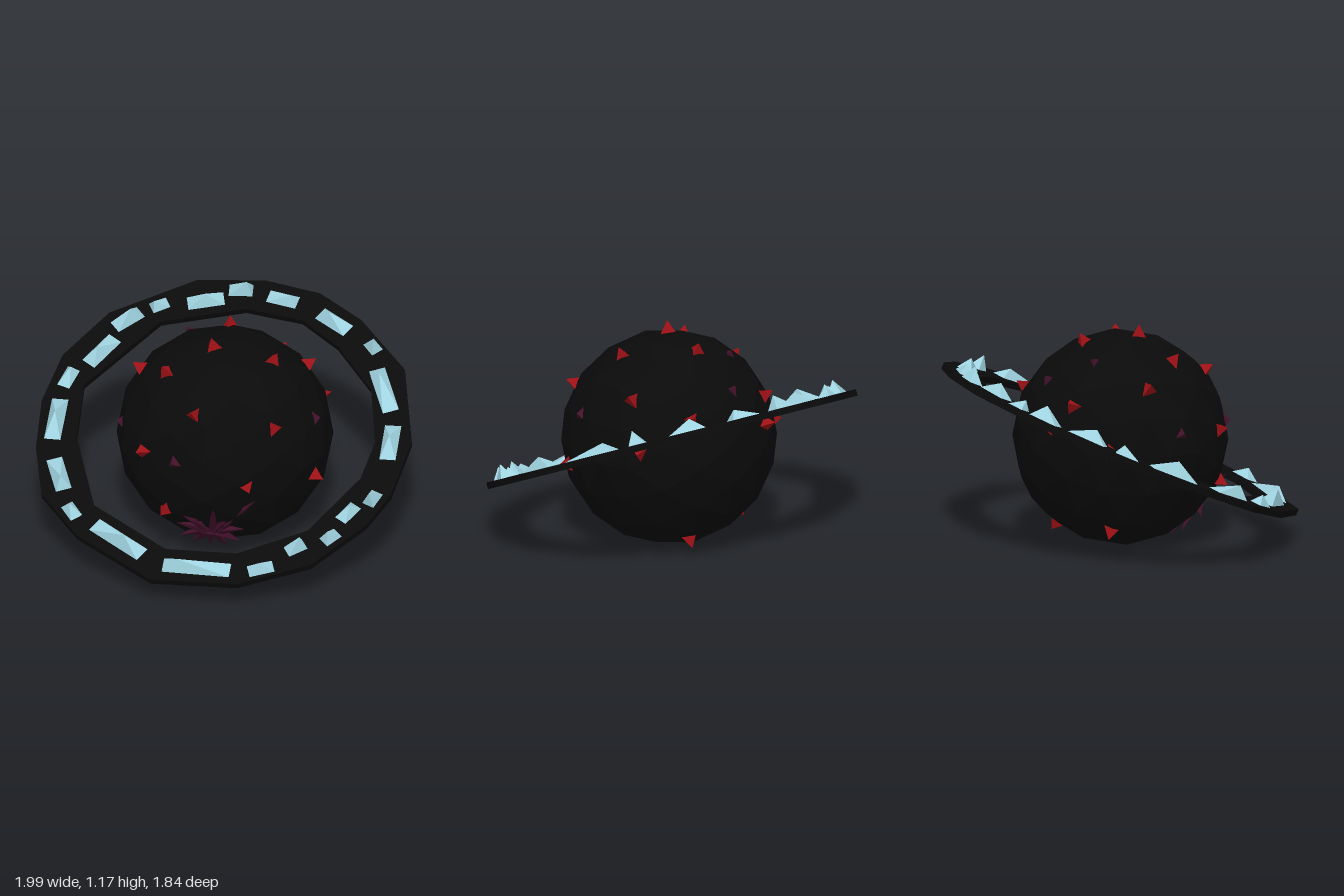
import * as THREE from 'three';

const R = 0.57;
const CENTRE = new THREE.Vector3(0, R, 0);
const UP = new THREE.Vector3(0, 1, 0);
const TILT = 0.414;

const paint = (color) => new THREE.MeshStandardMaterial({ color, flatShading: true, side: THREE.DoubleSide });
const rock = paint(0x0a0a0a);
const red = paint(0x9c1015);
const maroon = paint(0x42102a);
const ice = paint(0x9fd3e0);

// Point at radius r in the direction of a position relative to the planet
const onSphere = (x, y, z, r) => new THREE.Vector3(x, y, z).setLength(r).add(CENTRE);

// Pyramid with its base at a and its tip at b
function spike(name, a, b, radius, sides, material, spin) {
  const dir = b.clone().sub(a);
  const geo = new THREE.ConeGeometry(radius, dir.length(), sides);
  geo.rotateY(spin);
  const mesh = new THREE.Mesh(geo, material);
  mesh.name = name;
  mesh.position.copy(a).add(b).multiplyScalar(0.5);
  mesh.quaternion.setFromUnitVectors(UP, dir.normalize());
  return mesh;
}

function createSpikes() {
  const group = new THREE.Group();
  group.name = 'surfaceSpikes';
  // Directions from the planet centre
  const reds = [
    [-0.02, 0.53, -0.21], [-0.05, 0.56, 0.08], [0.27, 0.5, 0.05], [-0.27, 0.46, 0.22],
    [-0.07, 0.35, 0.45], [0.34, 0.26, 0.35], [-0.45, 0.35, 0.03], [-0.35, 0.26, -0.36],
    [0.2, 0.26, -0.46], [0.4, 0.34, -0.2], [0.45, 0.09, -0.33], [0.52, -0.09, 0.19],
    [-0.53, 0.04, -0.2], [-0.34, 0.09, 0.44], [0.23, -0.02, 0.51], [-0.21, -0.22, 0.47],
    [-0.28, 0.14, -0.47], [-0.33, -0.42, -0.15], [0.1, -0.45, -0.31],
  ];
  const dark = [
    [-0.24, 0.47, -0.21], [-0.1, 0.36, -0.43], [0.53, 0.21, 0.1],
    [-0.51, 0.11, 0.19], [-0.16, 0.09, 0.53],
  ];
  reds.forEach((p, i) => group.add(
    spike('redSpike', onSphere(...p, 0.535), onSphere(...p, 0.62), 0.062, 3, red, i * 1.7)));
  dark.forEach((p, i) => group.add(
    spike('maroonSpike', onSphere(...p, 0.53), onSphere(...p, 0.585), 0.075, 3, maroon, i * 1.3)));
  return group;
}

// Shards splayed out over the surface from one spot low on the front
function createShards() {
  const group = new THREE.Group();
  group.name = 'shardCluster';
  const tips = [
    [0.27, -0.08], [0.06, -0.13], [-0.05, -0.22], [0.12, -0.21], [-0.14, -0.27], [-0.1, -0.2],
    [0.2, -0.28], [0.16, -0.4], [0.07, -0.5], [-0.02, -0.51], [-0.1, -0.48], [-0.15, -0.4],
  ];
  tips.forEach(([x, y], i) => {
    const z = Math.sqrt(R * R - x * x - y * y);
    const root = onSphere(0.02 + x * 0.2, -0.36 + (y + 0.36) * 0.15, 0.43, 0.545);
    group.add(spike('shard', root, onSphere(x, y, z, 0.6), 0.038, 4, maroon, i));
  });
  return group;
}

function createRing() {
  const group = new THREE.Group();
  group.name = 'tiltedRing';
  group.position.y = 0.55;
  group.rotation.x = TILT;
  const c = Math.cos(TILT);

  // Irregular outer and inner outlines, as x and z seen from above
  const outer = [
    [0.02, -0.92], [0.32, -0.88], [0.57, -0.75], [0.86, -0.49], [0.99, -0.07], [0.95, 0.26],
    [0.86, 0.45], [0.62, 0.72], [0.26, 0.88], [-0.2, 0.91], [-0.64, 0.7], [-0.88, 0.48],
    [-0.97, 0.21], [-1, -0.07], [-0.95, -0.35], [-0.76, -0.63], [-0.34, -0.88],
  ];
  const inner = [
    [-0.05, -0.74], [0.26, -0.71], [0.48, -0.58], [0.71, -0.35], [0.8, -0.04], [0.77, 0.18],
    [0.56, 0.52], [0.22, 0.7], [-0.16, 0.72], [-0.59, 0.51], [-0.77, 0.12], [-0.8, -0.19],
    [-0.48, -0.61],
  ];
  const flat = (list) => list.map(([x, z]) => new THREE.Vector2(x, -z / c));
  const shape = new THREE.Shape(flat(outer));
  shape.holes.push(new THREE.Path(flat(inner)));
  const geo = new THREE.ExtrudeGeometry(shape, { depth: 0.036, bevelEnabled: false });
  geo.rotateX(-Math.PI / 2).translate(0, -0.018, 0);
  const band = new THREE.Mesh(geo, rock);
  band.name = 'ringBand';
  group.add(band);

  // Ice crystals: x, z, length along the ring
  const crystals = [
    [0.13, -0.82, 0.17], [0.43, -0.72, 0.2], [0.665, -0.6, 0.09], [0.78, -0.35, 0.3],
    [0.88, -0.05, 0.23], [0.86, 0.29, 0.1], [0.75, 0.39, 0.13], [0.69, 0.545, 0.1],
    [0.52, 0.63, 0.11], [0.365, 0.775, 0.14], [0.03, 0.81, 0.37], [-0.42, 0.695, 0.34],
    [-0.7, 0.56, 0.11], [-0.815, 0.35, 0.22], [-0.9, 0.03, 0.27], [-0.89, -0.22, 0.13],
    [-0.75, -0.4, 0.22], [-0.655, -0.6, 0.17], [-0.505, -0.705, 0.1], [-0.27, -0.76, 0.2],
    [-0.1, -0.845, 0.13],
  ];
  crystals.forEach(([x, z, len], i) => {
    // Four-sided pyramid with its tip leaning along the ring
    const pyramid = new THREE.ConeGeometry(Math.SQRT1_2, 1, 4).rotateY(Math.PI / 4).translate(0, 0.5, 0);
    const p = pyramid.attributes.position;
    const lean = ((i * 3) % 5 - 2) * 0.14;
    for (let k = 0; k < p.count; k++) p.setX(k, p.getX(k) + lean * p.getY(k));
    const mesh = new THREE.Mesh(pyramid, ice);
    mesh.name = 'iceCrystal';
    mesh.scale.set(len, 0.055 + 0.012 * (i % 3), Math.min(0.09, 0.055 + len * 0.15));
    mesh.position.set(x, 0.016, z / c);
    mesh.rotation.y = Math.atan2(x, z / c);
    group.add(mesh);
  });
  return group;
}

export function createModel() {
  const model = new THREE.Group();
  model.name = 'ringedPlanet';

  // Faceted planet
  const planet = new THREE.Mesh(new THREE.IcosahedronGeometry(R, 2), rock);
  planet.name = 'planet';
  planet.position.copy(CENTRE);

  model.add(planet, createSpikes(), createShards(), createRing());
  return model;
}
